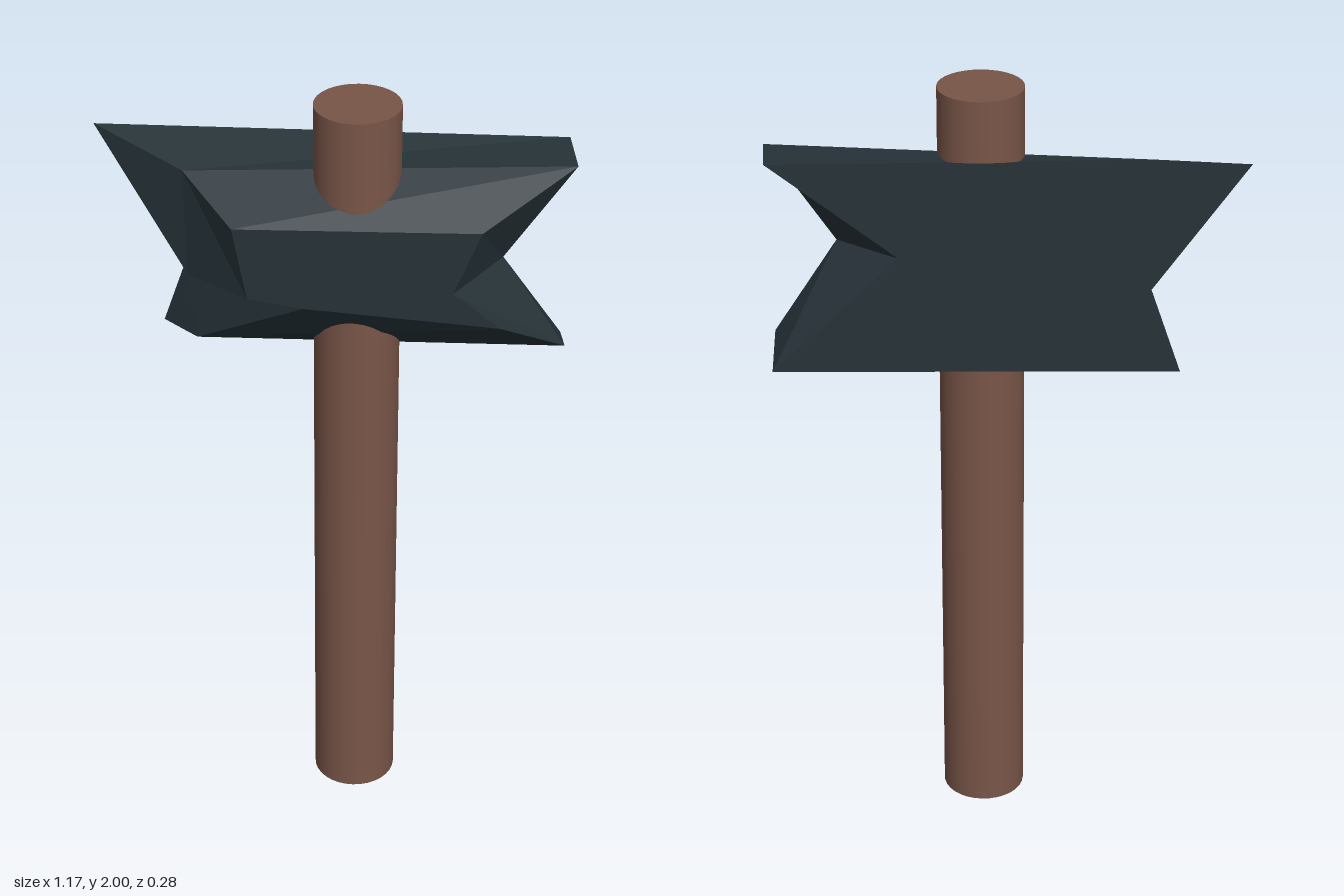
import * as THREE from 'three';

// Faceted head lofted through hexagonal sections, each counter-clockwise seen from the front:
// top left, notch left, bottom left, bottom right, notch right, top right
function loftHead(sections) {
  const pos = [];
  const quad = (a, b, c, d) => pos.push(...a, ...b, ...c, ...a, ...c, ...d);
  const rings = sections.map(({ z, pts }) => pts.map(([x, y]) => [x, y, z]));
  for (let s = 0; s < rings.length - 1; s++) {
    const f = rings[s], b = rings[s + 1];
    for (let i = 0; i < 6; i++) {
      const j = (i + 1) % 6;
      quad(f[j], f[i], b[i], b[j]);
    }
  }
  // Caps: one quad above the notches and one below
  const [f, b] = [rings[0], rings[rings.length - 1]];
  quad(f[0], f[1], f[4], f[5]);
  quad(f[1], f[2], f[3], f[4]);
  quad(b[5], b[4], b[1], b[0]);
  quad(b[4], b[3], b[2], b[1]);
  const geo = new THREE.BufferGeometry();
  geo.setAttribute('position', new THREE.Float32BufferAttribute(pos, 3));
  geo.computeVertexNormals();
  return geo;
}

export function createModel() {
  const group = new THREE.Group();

  // Round wooden handle
  const handle = new THREE.Mesh(
    new THREE.CylinderGeometry(0.106, 0.106, 2, 32),
    new THREE.MeshStandardMaterial({ color: 0x795548 })
  );
  handle.name = 'handle';
  handle.position.set(0.06, 1, 0);
  group.add(handle);

  // Notched stone head, narrow in front and wide at the back
  const head = new THREE.Mesh(
    loftHead([
      { z: 0.14, pts: [[-0.235, 1.735], [-0.2, 1.545], [-0.065, 1.52], [0.41, 1.475], [0.295, 1.57], [0.36, 1.735]] },
      { z: 0, pts: [[-0.36, 1.815], [-0.355, 1.53], [-0.335, 1.35], [0.575, 1.345], [0.415, 1.595], [0.585, 1.845]] },
      { z: -0.14, pts: [[-0.585, 1.865], [-0.355, 1.535], [-0.43, 1.315], [0.57, 1.3], [0.255, 1.61], [0.57, 1.85]] },
    ]),
    new THREE.MeshStandardMaterial({ color: 0x263238, flatShading: true })
  );
  head.name = 'head';
  group.add(head);

  return group;
}
